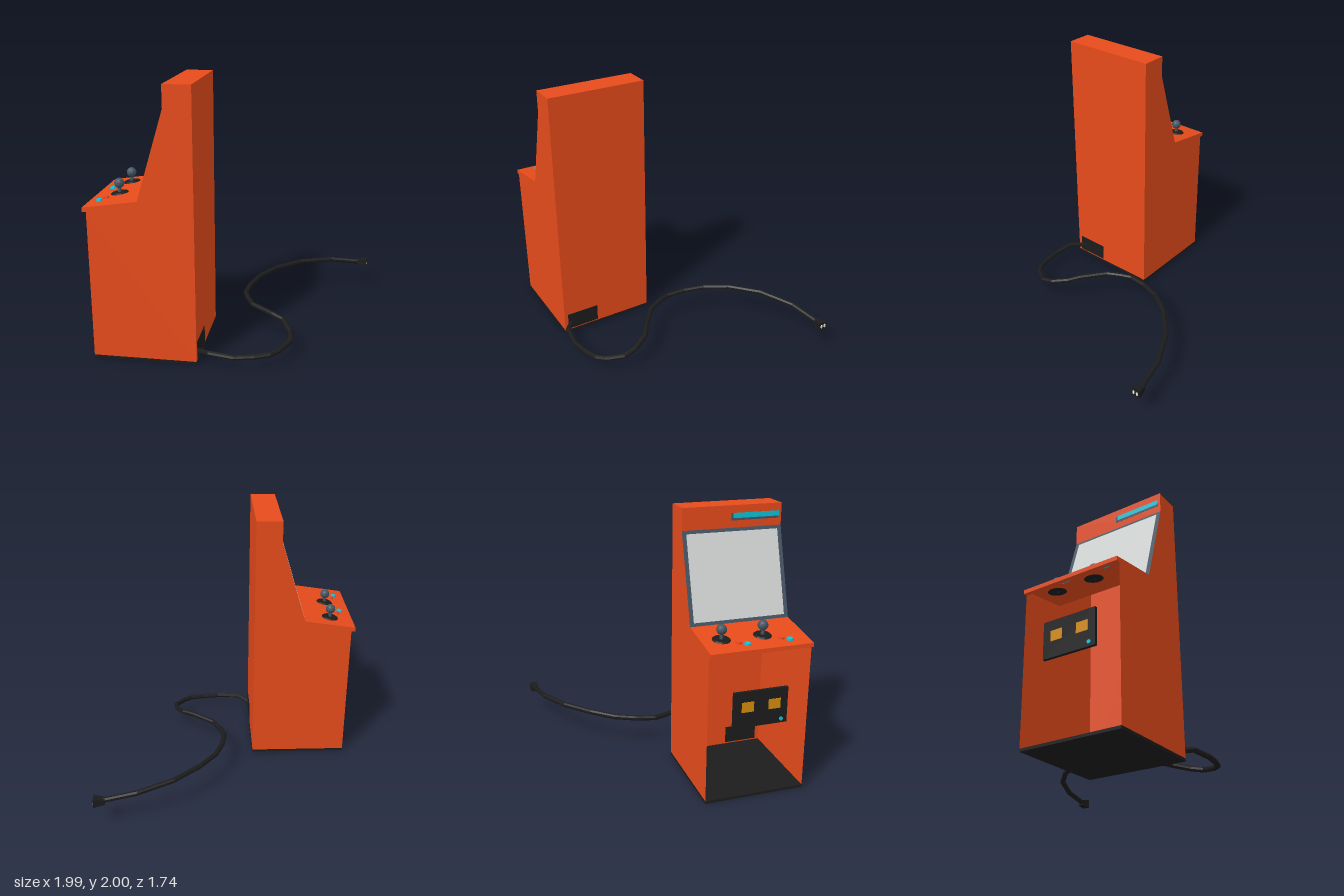
import * as THREE from 'three';

const mat = (name, color, side = THREE.FrontSide) =>
  new THREE.MeshStandardMaterial({ name, color, side, flatShading: true });

export function createModel() {
  const orange = mat('cabinetOrange', 0xe64b1b, THREE.DoubleSide);
  const slate = mat('slate', 0x455564, THREE.DoubleSide);
  const black = mat('black', 0x1c1c1c);
  const glass = mat('screenGrey', 0xd3d7d5);
  const teal = mat('teal', 0x0cc4da);
  const red = mat('buttonRed', 0xee4a22);
  const amber = mat('amber', 0xd68c0c);
  const metal = mat('metal', 0xf2f2f2);

  const model = new THREE.Group();
  model.name = 'arcadeCabinet';
  const add = (name, geometry, material, pos = [0, 0, 0], parent = model) => {
    const mesh = new THREE.Mesh(geometry, material);
    mesh.name = name;
    mesh.position.set(...pos);
    parent.add(mesh);
    return mesh;
  };
  // box given by its min and max corners
  const block = (name, a, b, material, parent = model) =>
    add(name, new THREE.BoxGeometry(b[0] - a[0], b[1] - a[1], b[2] - a[2]), material,
      a.map((v, i) => (v + b[i]) / 2), parent);

  // Cabinet shell: side profile, open at the front below the control panel
  const z0 = 0.06, z1 = 0.815, zMid = (z0 + z1) / 2;
  const profile = [[-0.97, 0.02], [-0.213, 0.02], [-0.213, 2], [-0.41, 2], [-0.41, 1.84],
    [-0.605, 1.2], [-1, 1.14], [-1, 1.11], [-0.97, 1.11]];
  const side = new THREE.ShapeGeometry(new THREE.Shape(profile.map(p => new THREE.Vector2(...p))));
  add('rightSide', side, orange, [0, 0, z1]);
  add('leftSide', side, orange, [0, 0, z0]);
  const panels = [null, 'backPanel', 'topPanel', 'marqueePanel', 'screenFrame',
    'controlPanel', 'controlPanelLip', 'lipUnderside'];
  panels.forEach((name, i) => {
    if (!name) return;
    const [a, b] = [profile[i], profile[i + 1]];
    const geo = new THREE.BufferGeometry();
    geo.setAttribute('position', new THREE.Float32BufferAttribute(
      [...a, z0, ...a, z1, ...b, z1, ...b, z0], 3));
    geo.setIndex([0, 1, 2, 0, 2, 3]);
    geo.computeVertexNormals();
    add(name, geo, name === 'screenFrame' ? slate : orange);
  });
  block('base', [-0.97, 0, z0], [-0.213, 0.02, z1], black);

  // Screen glass on the sloping frame
  const screen = new THREE.Group();
  screen.name = 'screen';
  screen.position.set(-0.5075, 1.52, zMid);
  screen.rotation.z = -Math.atan2(0.195, 0.64);
  model.add(screen);
  block('screenGlass', [-0.002, -0.31, -0.347], [0.002, 0.31, 0.347], glass, screen);

  // Marquee strip
  block('marqueeBacking', [-0.4115, 1.892, 0.43], [-0.41, 1.945, 0.795], slate);
  block('marqueeStripe', [-0.413, 1.908, 0.445], [-0.411, 1.945, 0.795], teal);

  // Controls, laid out on the tilted panel for two players
  const tilt = Math.atan2(0.06, 0.395);
  const onPanel = (name, x, z) => {
    const group = new THREE.Group();
    group.name = name;
    group.position.set(x, 1.14 + (x + 1) * Math.tan(tilt), z);
    model.add(group);
    return group;
  };
  for (const z of [0.207, 0.513]) {
    const stick = onPanel('joystick', -0.82, z);
    add('joystickBase', new THREE.CylinderGeometry(0.055, 0.067, 0.01, 14), black, [0, 0.004, 0], stick)
      .rotation.z = tilt;
    add('joystickShaft', new THREE.CylinderGeometry(0.013, 0.013, 0.06, 10), slate, [0, 0.03, 0], stick);
    add('joystickBall', new THREE.SphereGeometry(0.037, 12, 9), slate, [0, 0.074, 0], stick);
    [[-0.888, 0.1, red], [-0.92, 0.15, teal]].forEach(([x, dz, color]) => {
      const mount = onPanel('buttonMount', x, z + dz + (z > 0.5 ? 0.01 : 0));
      add('button', new THREE.CylinderGeometry(0.021, 0.024, 0.014, 10), color, [0, 0.006, 0], mount)
        .rotation.z = tilt;
    });
  }

  // Coin door
  block('coinDoor', [-0.993, 0.57, 0.24], [-0.97, 0.835, 0.645], black);
  for (const z of [0.345, 0.545])
    block('coinSlot', [-0.996, 0.685, z - 0.045], [-0.992, 0.76, z + 0.045], amber);
  add('coinDoorLock', new THREE.CylinderGeometry(0.014, 0.014, 0.008, 10), teal, [-0.996, 0.6, 0.6])
    .rotation.z = Math.PI / 2;

  // Power plate on the back
  block('powerPlate', [-0.215, 0.03, 0.525], [-0.21, 0.165, 0.785], black);

  // Power cable: straight runs between the bends
  const bends = [[-0.215, 0.08, 0.755], [-0.12, 0.103, 0.828], [0.06, 0.095, 0.852], [0.2, 0.1, 0.828],
    [0.31, 0.108, 0.792], [0.37, 0.116, 0.737], [0.44, 0.14, 0.62], [0.43, 0.163, 0.52],
    [0.365, 0.195, 0.4], [0.28, 0.206, 0.34], [0.11, 0.21, 0.2], [0.055, 0.213, 0.09],
    [0.025, 0.217, 0], [0.045, 0.226, -0.15], [0.1, 0.236, -0.31], [0.22, 0.249, -0.48],
    [0.42, 0.25, -0.66], [0.68, 0.237, -0.785], [0.93, 0.212, -0.83]].map(p => new THREE.Vector3(...p));
  class BentLine extends THREE.Curve {
    getPoint(t, target = new THREE.Vector3()) {
      const f = t * (bends.length - 1), i = Math.min(Math.floor(f), bends.length - 2);
      return target.lerpVectors(bends[i], bends[i + 1], f - i);
    }
    getUtoTmapping(u) { return u; }
  }
  add('powerCable', new THREE.TubeGeometry(new BentLine(), bends.length - 1, 0.02, 8), black);

  // Plug with metal contacts on its end face
  const plug = new THREE.Group();
  plug.name = 'plug';
  plug.position.set(0.95, 0.208, -0.833);
  model.add(plug);
  const body = new THREE.CylinderGeometry(0.049, 0.03, 0.08, 4);
  body.rotateY(Math.PI / 4).rotateZ(-Math.PI / 2);
  add('plugBody', body, black, [0, 0, 0], plug);
  for (const z of [-0.015, 0.015]) {
    const contact = add('plugContact', new THREE.CylinderGeometry(0.009, 0.009, 0.006, 10), metal,
      [0.041, 0.002, z], plug);
    contact.rotation.z = Math.PI / 2;
    contact.scale.x = 1.8;
  }

  return model;
}
